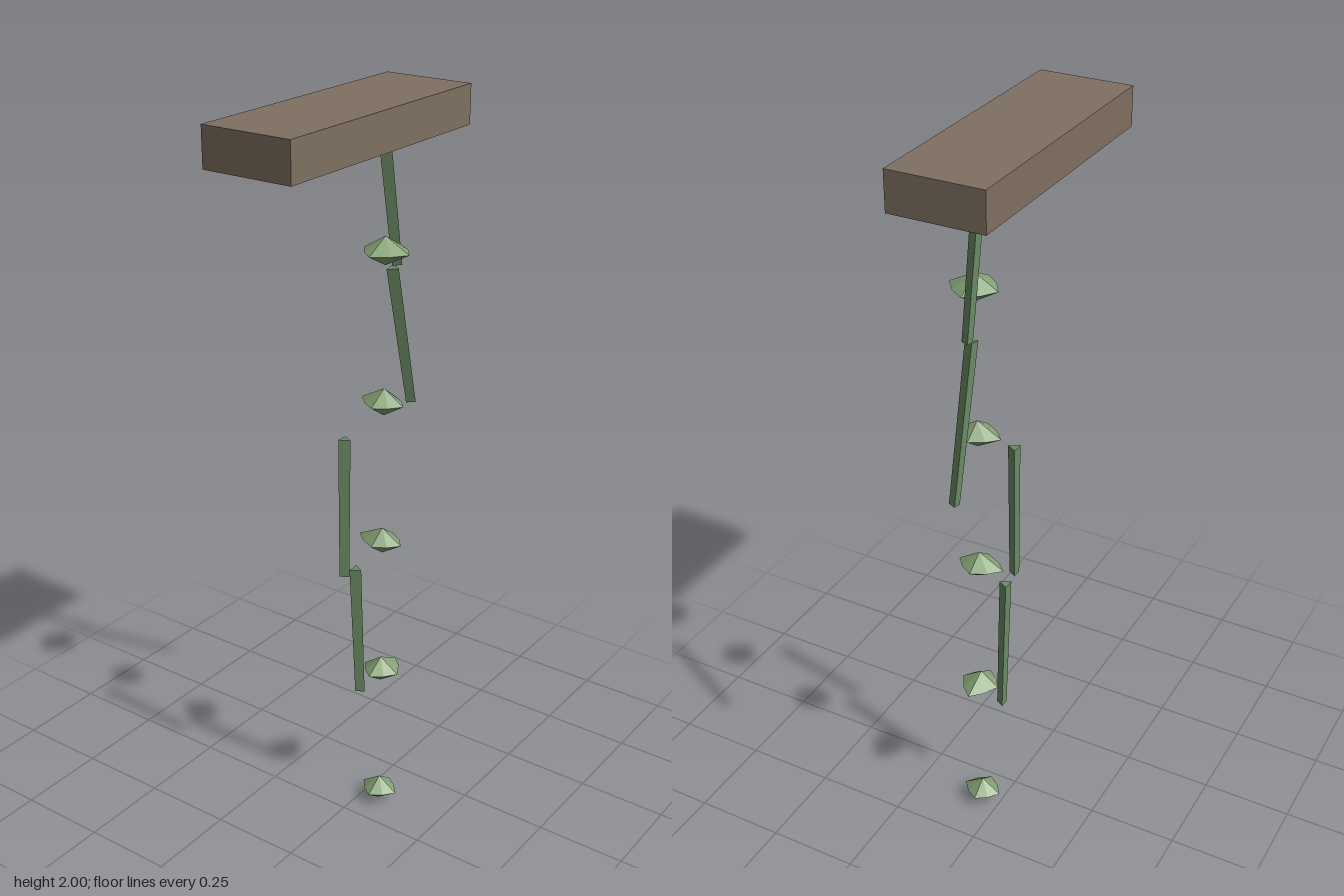
import * as THREE from 'three';

const wood = new THREE.MeshStandardMaterial({ color: 0x7f7061, flatShading: true, side: THREE.DoubleSide });
const stemGreen = new THREE.MeshStandardMaterial({ color: 0x6b8c65, flatShading: true });
const leafGreen = new THREE.MeshStandardMaterial({ color: 0x86a376, flatShading: true });

// Open-bottomed planter block
function makePlanter() {
  const geo = new THREE.BoxGeometry(0.718, 0.1, 0.246);
  const index = Array.from(geo.index.array);
  index.splice(18, 6); // drop the underside
  geo.setIndex(index);
  geo.clearGroups();
  const mesh = new THREE.Mesh(geo, wood);
  mesh.name = 'planter';
  mesh.position.set(0, 1.95, -0.002);
  return mesh;
}

// Three-sided tapering stem between two points in the z = 0 plane
function makeStem(top, bottom) {
  const a = new THREE.Vector3(top[0], top[1], 0.002);
  const b = new THREE.Vector3(bottom[0], bottom[1], 0.002);
  const dir = a.clone().sub(b);
  const mesh = new THREE.Mesh(new THREE.CylinderGeometry(0.018, 0.015, dir.length(), 3), stemGreen);
  mesh.position.copy(a).add(b).multiplyScalar(0.5);
  mesh.quaternion.setFromUnitVectors(new THREE.Vector3(0, 1, 0), dir.normalize());
  return mesh;
}

// Faceted leaf: two low cones on a shared rim, reaching differently to each side
function makeLeaf(y, right, left, front, back) {
  const geo = new THREE.SphereGeometry(1, 8, 2);
  const p = geo.attributes.position;
  for (let i = 0; i < p.count; i++) {
    const x = p.getX(i), z = p.getZ(i);
    const diagonal = Math.abs(x * z) > 0.1 ? 0.8 / 0.98 : 1;
    p.setXYZ(
      i,
      x * diagonal * (x > 0 ? left : right),
      p.getY(i) * 0.037,
      z * diagonal * (z > 0 ? front : back)
    );
  }
  geo.computeVertexNormals();
  const mesh = new THREE.Mesh(geo, leafGreen);
  mesh.position.set(0.1, y, 0.052);
  return mesh;
}

export function createModel() {
  const model = new THREE.Group();
  model.name = 'hangingVine';
  model.add(makePlanter());

  // Broken chain of stem segments: top and bottom points
  const stems = [
    [[0.155, 1.95], [0.227, 1.557]],
    [[0.207, 1.553], [0.303, 1.158]],
    [[0, 1.155], [0, 0.76]],
    [[0.05, 0.758], [0.074, 0.362]],
  ];
  stems.forEach(([top, bottom], i) => {
    const stem = makeStem(top, bottom);
    stem.name = `stem${i + 1}`;
    model.add(stem);
  });

  // Leaves: height, then reach to right, left, front and back
  const leaves = [
    [1.633, 0.07, 0.066, 0.07, 0.062],
    [1.235, 0.055, 0.05, 0.06, 0.067],
    [0.838, 0.05, 0.052, 0.06, 0.072],
    [0.438, 0.054, 0.072, 0.056, 0.052],
    [0.038, 0.052, 0.05, 0.056, 0.054],
  ];
  leaves.forEach((l, i) => {
    const leaf = makeLeaf(...l);
    leaf.name = `leaf${i + 1}`;
    model.add(leaf);
  });
  return model;
}
